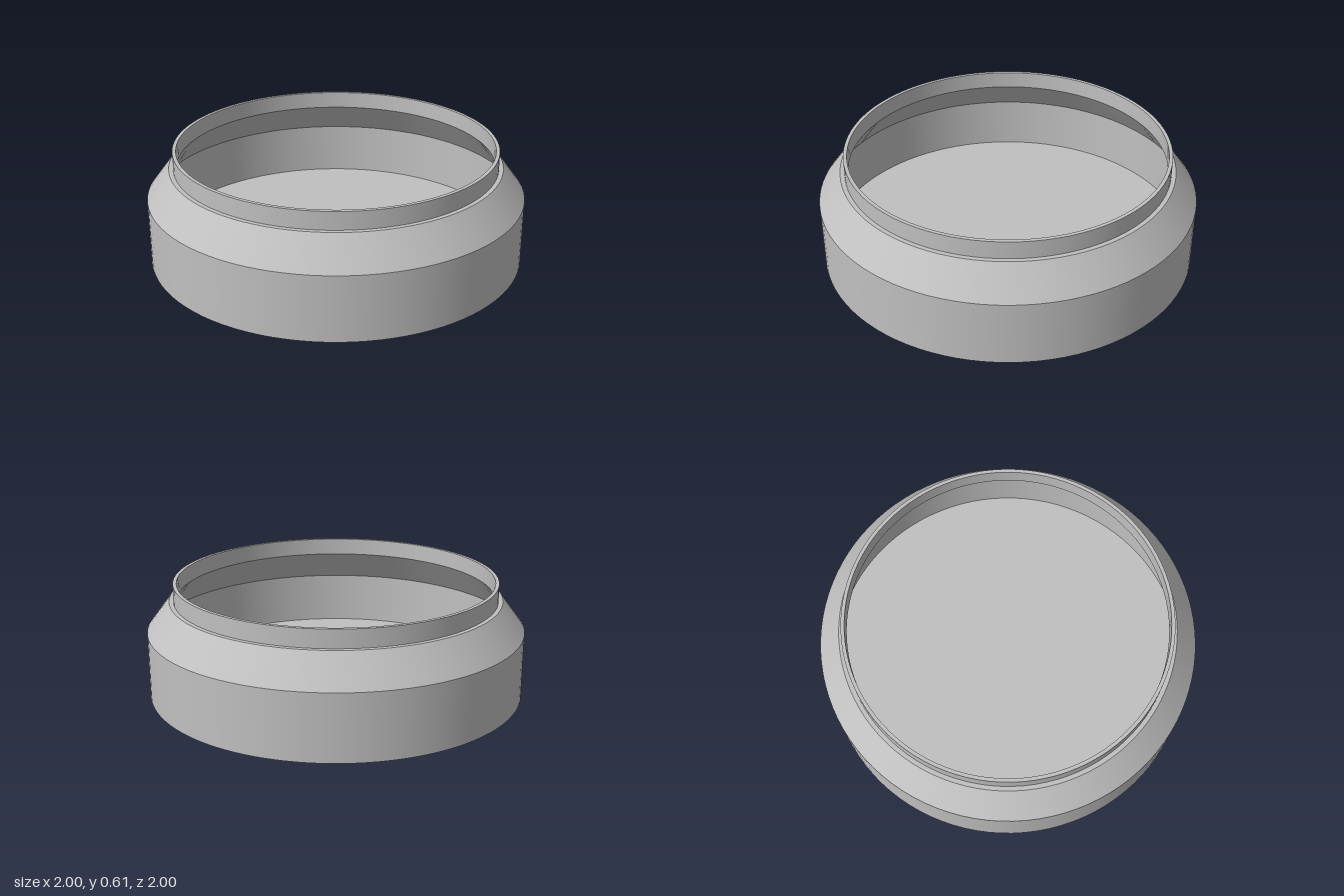
import * as THREE from 'three';

const SEGMENTS = 96;

export function createModel() {
  const model = new THREE.Group();
  model.name = 'openJar';
  const grey = new THREE.MeshStandardMaterial({ color: 0xc0c0c0 });
  grey.name = 'light grey';

  // Each band is its own lathe, smooth around and sharp at its rims.
  // Profiles run upward on the outside and downward on the inside.
  const band = (name, ...profile) => {
    const points = profile.map(([r, y]) => new THREE.Vector2(r, y));
    const mesh = new THREE.Mesh(new THREE.LatheGeometry(points, SEGMENTS), grey);
    mesh.name = name;
    model.add(mesh);
  };

  // Outside
  band('base', [0, 0], [1, 0]);
  band('outerWall', [1, 0], [1, 0.35]);
  band('outerShoulder', [1, 0.35], [0.88, 0.51]);
  band('shoulderLedge', [0.88, 0.51], [0.857, 0.51]);
  band('outerNeck', [0.857, 0.51], [0.857, 0.605]);
  band('rim', [0.857, 0.605], [0.838, 0.605]);

  // Inside
  band('innerNeck', [0.838, 0.605], [0.838, 0.513]);
  band('innerShoulder', [0.838, 0.513], [0.965, 0.342]);
  band('innerWall', [0.965, 0.342], [0.965, 0.06]);
  band('floor', [0.965, 0.06], [0, 0.06]);

  return model;
}
